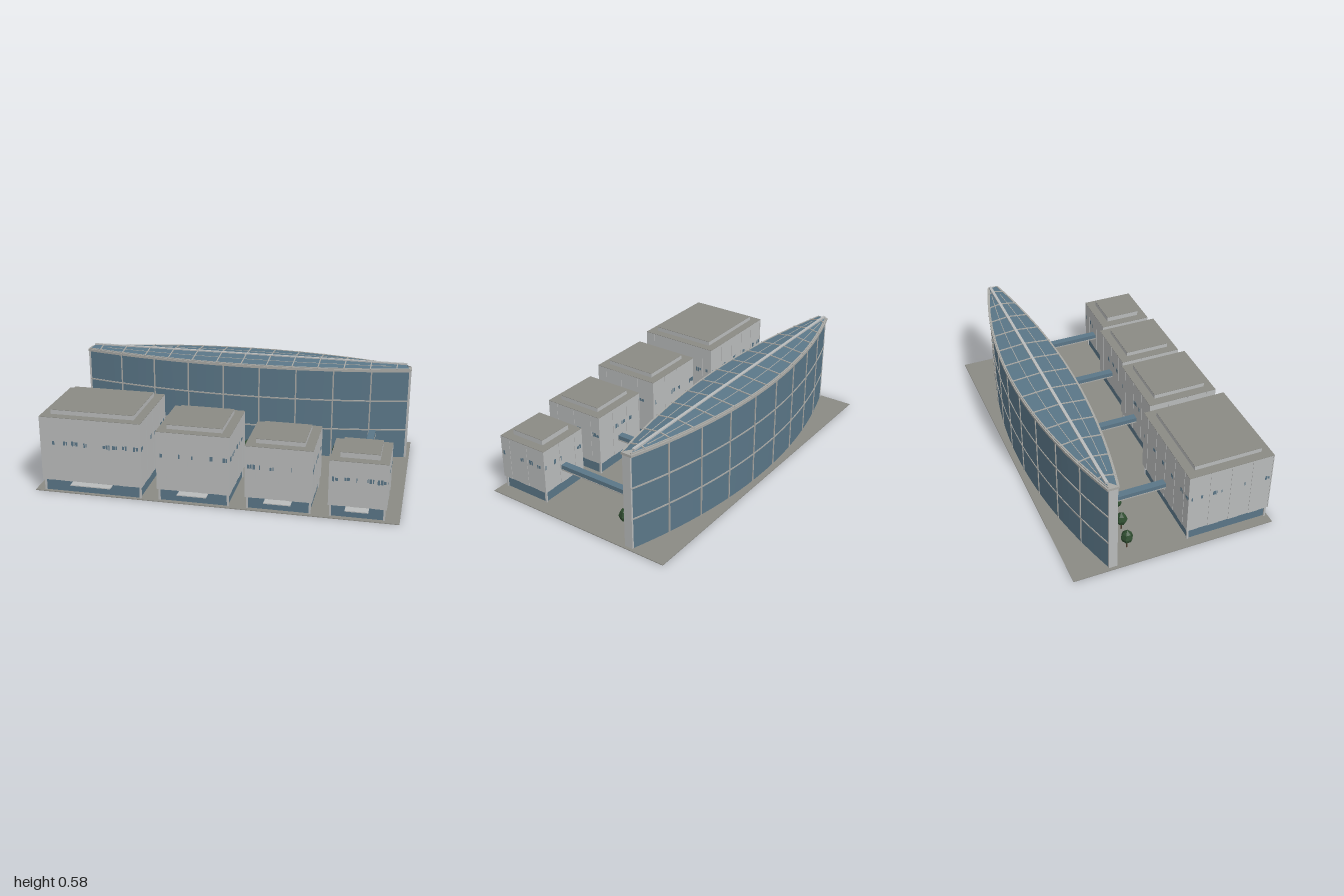
import * as THREE from 'three';

const mat = (name, color, flat) => {
  const m = new THREE.MeshStandardMaterial({ color });
  m.name = name;
  if (flat) m.flatShading = true;
  return m;
};

export function createModel() {
  const root = new THREE.Group();
  root.name = 'campus';
  const M = {
    wall: mat('concrete wall', 0xb9bbbb),
    roof: mat('roof and paving grey', 0x8a8a84),
    glass: mat('blue glass', 0x5a7687),
    frame: mat('frame grey', 0xa9a9a5),
    leaf: mat('leaf green', 0x2f4d30, true),
    trunk: mat('trunk brown', 0x4d3d2d),
  };
  M.glass.side = THREE.DoubleSide;

  let seed = 7;
  const rnd = () => (seed = (seed * 16807) % 2147483647) / 2147483647;

  const add = (parent, name, geo, material) => {
    const m = new THREE.Mesh(geo, material);
    m.name = name;
    parent.add(m);
    return m;
  };
  // Box given by its min and max corners
  const box = (parent, name, material, x0, x1, y0, y1, z0, z1) =>
    add(parent, name, new THREE.BoxGeometry(x1 - x0, y1 - y0, z1 - z0), material)
      .position.set((x0 + x1) / 2, (y0 + y1) / 2, (z0 + z1) / 2);
  // Square bar between two points
  const bar = (parent, name, material, a, b, w) => {
    const m = add(parent, name, new THREE.BoxGeometry(w, w, a.distanceTo(b)), material);
    m.position.copy(a).lerp(b, 0.5);
    m.lookAt(b);
  };
  const group = (name) => {
    const g = new THREE.Group();
    g.name = name;
    root.add(g);
    return g;
  };

  box(root, 'groundSlab', M.roof, -1, 1, 0, 0.004, -0.582, 0.556);

  // ---- Lens-shaped tower ----
  const tower = group('lensTower');
  const L = 0.975, ridgeZ = -0.383;
  const front = (x) => -0.337 + 0.112 * (1 - (x / L) ** 2);
  const back = (x) => -0.382 - 0.165 * (1 - (x / L) ** 2);
  const N = 36;
  const xs = Array.from({ length: N + 1 }, (_, i) => L * (2 * i / N - 1));

  // Lens outline, pushed outwards by o, extruded from y0 to y1
  const lens = (o, y0, y1) => {
    const k = (L + o) / L;
    const s = new THREE.Shape([
      ...xs.map((x) => new THREE.Vector2(x * k, -front(x) - o)),
      ...xs.map((x) => new THREE.Vector2(-x * k, -back(x) + o)),
    ]);
    const g = new THREE.ExtrudeGeometry(s, { depth: y1 - y0, bevelEnabled: false });
    return g.rotateX(-Math.PI / 2).translate(0, y0, 0);
  };
  add(tower, 'glassBody', lens(0, 0.004, 0.542), M.glass);
  for (const y of [0.18, 0.36]) add(tower, 'floorBand', lens(0.003, y - 0.004, y + 0.004), M.frame);
  add(tower, 'eavesRim', lens(0.009, 0.54, 0.554), M.frame);

  // Vertical mullions on both curved faces
  for (let i = 1; i < 9; i++) {
    const x = L * (2 * i / 9 - 1);
    for (const z of [front(x), back(x)])
      box(tower, 'mullion', M.frame, x - 0.004, x + 0.004, 0.004, 0.545, z - 0.004, z + 0.004);
  }
  // Solid end piers
  for (const s of [-1, 1])
    box(tower, 'endPier', M.wall, s * 0.977 - 0.006, s * 0.977 + 0.006, 0.004, 0.546, -0.383, -0.335);

  // Shallow glazed roof: two slopes rising to a straight ridge
  const eaveY = 0.556, topY = 0.57;
  for (const [edge, side] of [[front, 1], [back, -1]]) {
    const pos = [], idx = [];
    xs.forEach((x, i) => {
      pos.push(x, eaveY, edge(x), x * 0.97, topY, ridgeZ);
      if (i < N) {
        const a = 2 * i;
        if (side > 0) idx.push(a, a + 2, a + 1, a + 1, a + 2, a + 3);
        else idx.push(a, a + 1, a + 2, a + 1, a + 3, a + 2);
      }
    });
    const g = new THREE.BufferGeometry();
    g.setAttribute('position', new THREE.Float32BufferAttribute(pos, 3));
    g.setIndex(idx);
    g.computeVertexNormals();
    add(tower, 'roofGlass', g, M.glass);

    // Ribs across the slope
    for (let i = 0; i <= 12; i++) {
      const x = 0.15 * (i - 6);
      bar(tower, 'roofRib', M.frame, new THREE.Vector3(x, eaveY + 0.001, edge(x) + side * 0.007),
        new THREE.Vector3(x, topY + 0.001, ridgeZ), 0.006);
    }
    // Edge trim and a purlin halfway up
    for (let i = 0; i < N; i++) {
      const at = (x, t) => new THREE.Vector3(x, eaveY + (topY - eaveY) * t, edge(x) + (ridgeZ - edge(x)) * t);
      bar(tower, 'edgeTrim', M.frame, at(xs[i], 0), at(xs[i + 1], 0), 0.007);
      if (i > 1 && i < N - 2) bar(tower, 'roofPurlin', M.frame, at(xs[i], 0.5), at(xs[i + 1], 0.5), 0.0035);
    }
  }
  box(tower, 'ridgeBeam', M.wall, -0.955, 0.955, 0.565, 0.576, ridgeZ - 0.008, ridgeZ + 0.008);

  // ---- Four pavilions, stepping down in size ----
  const pavilions = [ // x0, x1, z0, z1, wall top, roof-box top
    [-0.955, -0.385, 0.066, 0.549, 0.44, 0.466],
    [-0.303, 0.1, 0.14, 0.544, 0.405, 0.43],
    [0.18, 0.541, 0.18, 0.541, 0.365, 0.39],
    [0.624, 0.931, 0.235, 0.54, 0.325, 0.355],
  ];
  const baseY = 0.07;
  for (const [x0, x1, z0, z1, top, cap] of pavilions) {
    const g = group('pavilion');
    const cx = (x0 + x1) / 2, cz = (z0 + z1) / 2, w = x1 - x0, d = z1 - z0;
    box(g, 'glassBase', M.glass, x0 + 0.014, x1 - 0.014, 0.004, baseY, z0 + 0.014, z1 - 0.014);
    box(g, 'wallCore', M.wall, x0 + 0.003, x1 - 0.003, baseY, top - 0.002, z0 + 0.003, z1 - 0.003);
    box(g, 'mainRoof', M.roof, x0, x1, top - 0.002, top, z0, z1);
    box(g, 'roofBox', M.wall, x0 + 0.05, x1 - 0.05, top, cap - 0.002, z0 + 0.05, z1 - 0.05);
    box(g, 'roofBoxTop', M.roof, x0 + 0.05, x1 - 0.05, cap - 0.002, cap, z0 + 0.05, z1 - 0.05);
    for (const x of [x0 + 0.012, x1 - 0.012]) for (const z of [z0 + 0.012, z1 - 0.012])
      box(g, 'cornerColumn', M.wall, x - 0.005, x + 0.005, 0.004, baseY, z - 0.005, z + 0.005);
    box(g, 'entranceCanopy', M.wall, cx - w * 0.2, cx + w * 0.2, 0.059, 0.064, z1 - 0.015, 0.582 - (0.549 - z1) * 0.4);

    // Wall panels of alternating depth, with small slot windows
    const winY = baseY + (top - baseY) * 0.6;
    for (let side = 0; side < 4; side++) {
      const face = new THREE.Group();
      face.name = 'facade';
      face.position.set(cx, 0, cz);
      face.rotation.y = side * Math.PI / 2;
      g.add(face);
      const len = side % 2 ? d : w, out = (side % 2 ? w : d) / 2;
      const n = Math.round(len / 0.06), p = len / n;
      for (let i = 0; i < n; i++) {
        const a = -len / 2 + i * p;
        const o = out - (i % 2 ? 0.002 : 0);
        box(face, 'wallPanel', M.wall, a, a + p, baseY, top - 0.002, out - 0.005, o);
        if (rnd() < 0.3) continue;
        let u = a + 0.006 + rnd() * 0.015;
        const count = 1 + Math.floor(rnd() * 3);
        for (let k = 0; k < count; k++) {
          const ww = 0.004 + rnd() * 0.012;
          if (u + ww > a + p - 0.003) break;
          const h = 0.008 + rnd() * 0.006, y = winY + (rnd() - 0.5) * 0.006;
          box(face, 'slotWindow', M.glass, u, u + ww, y - h, y + h, o - 0.001, o + 0.001);
          u += ww + 0.004;
        }
      }
    }
  }

  // ---- Skybridges from pavilions to the tower ----
  [-0.67, -0.1, 0.36, 0.78].forEach((x, i) => {
    const g = group('skybridge');
    const z0 = front(x) - 0.01, z1 = pavilions[i][2] + 0.004;
    box(g, 'bridgeGlass', M.glass, x - 0.02, x + 0.02, 0.156, 0.18, z0, z1);
    box(g, 'bridgeDeck', M.frame, x - 0.022, x + 0.022, 0.15, 0.156, z0, z1);
  });

  // ---- Row of trees ----
  const crown = new THREE.LatheGeometry([[0, 0], [0.024, 0.012], [0.032, 0.034], [0.023, 0.06], [0, 0.08]]
    .map(([r, y]) => new THREE.Vector2(r, y)), 6);
  const trunk = new THREE.CylinderGeometry(0.003, 0.004, 0.045, 6).translate(0, 0.0225, 0);
  const treeZ = [-0.24, -0.215, -0.19, -0.172, -0.17, -0.17, -0.16, -0.15, -0.16, -0.163, -0.175, -0.19, -0.21, -0.238];
  treeZ.forEach((z, i) => {
    const g = group('tree');
    g.position.set(-0.88 + i * 0.1335, 0.003, z);
    g.rotation.y = i * 0.7;
    g.scale.setScalar(0.95 + (-0.15 - z) * 1.3);
    add(g, 'trunk', trunk, M.trunk);
    add(g, 'crown', crown, M.leaf).position.y = 0.036;
  });

  return root;
}
